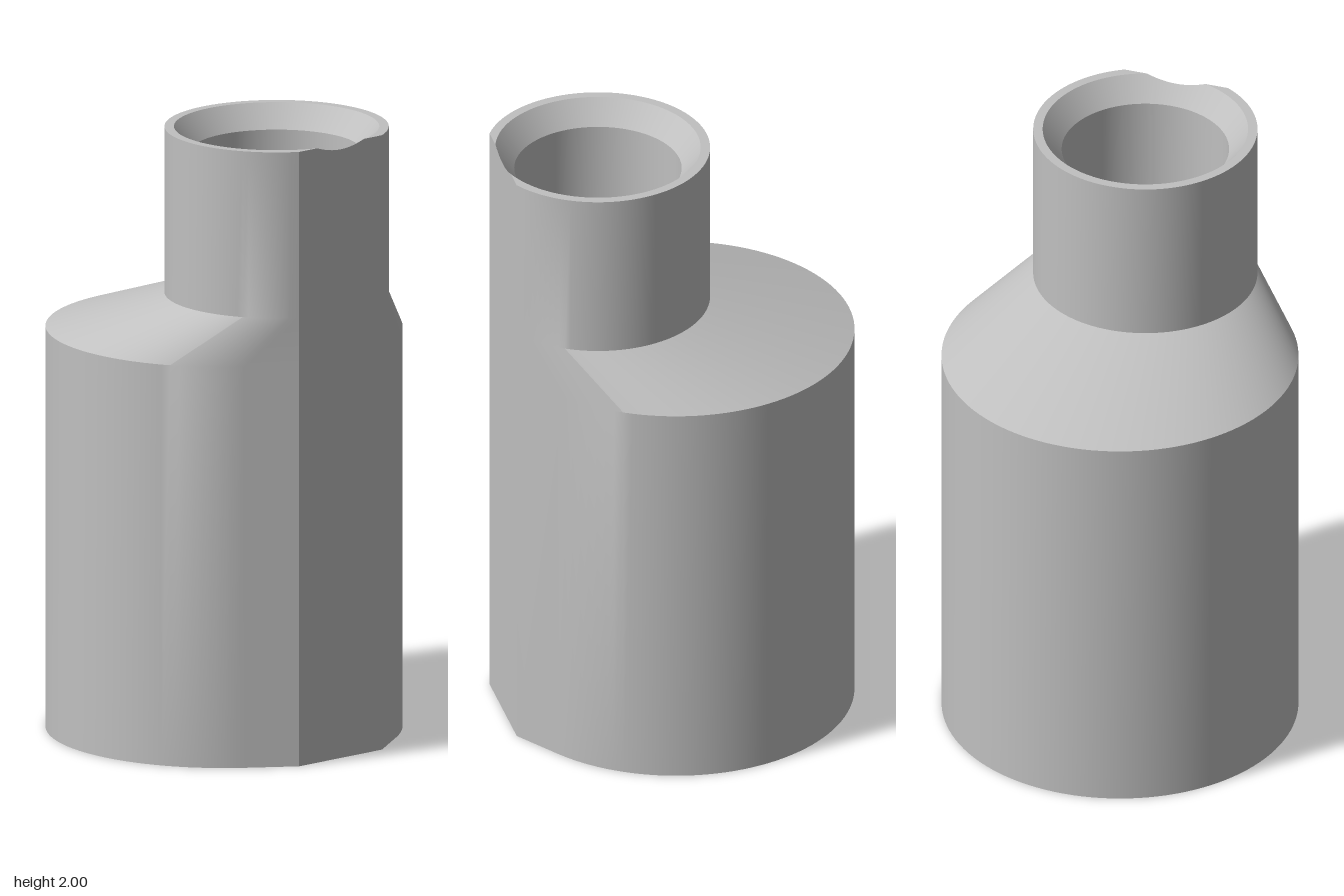
import * as THREE from 'three';
import { toCreasedNormals } from 'three/addons/utils/BufferGeometryUtils.js';

const BODY_R = 0.565, PIPE_R = 0.355, PIPE_Z = 0.255, FRONT = 0.565;
const RIM_R = 0.325, HOLE_R = 0.265, BORE_R = 0.475, CHAMFER = 0.075;
const REACH = FRONT - PIPE_Z; // pipe axis to the flat front

// Angles, measured from +z, at which the outline changes from flat to round
const rimCut = Math.acos(REACH / RIM_R);
const pipeCut = Math.acos(REACH / PIPE_R);
const corner = REACH * Math.tan(pipeCut);
const tangent = 2 * Math.atan(corner / FRONT);

// Shared column angles, running all the way round
function columnAngles() {
  const half = [0];
  const span = (a, b, n) => { for (let i = 1; i <= n; i++) half.push(a + (b - a) * i / n); };
  span(0, rimCut, 8);
  span(rimCut, pipeCut, 4);
  span(pipeCut, tangent, 1);
  span(tangent, Math.PI, 48);
  return [...half.slice(1).reverse().map(a => -a), ...half];
}

const circle = (r, y, z = 0) => a => new THREE.Vector3(r * Math.sin(a), y, z + r * Math.cos(a));

// Round body with a flat front and two tangent facets
const bodyRing = y => a => Math.abs(a) <= pipeCut + 1e-6
  ? new THREE.Vector3(REACH * Math.tan(a), y, FRONT)
  : circle(BODY_R, y)(a);

// Pipe circle trimmed by the front plane; the top edge dips where the chamfer is cut
const trimmed = (r, a) => Math.cos(a) > REACH / r ? REACH / Math.cos(a) : r;
const pipeRing = y => a => circle(trimmed(PIPE_R, a), y, PIPE_Z)(a);
const dip = a => 2 - CHAMFER * (RIM_R - trimmed(RIM_R, a)) / (RIM_R - HOLE_R);
const pipeTop = a => circle(trimmed(PIPE_R, a), dip(a), PIPE_Z)(a);
const rim = a => circle(trimmed(RIM_R, a), dip(a), PIPE_Z)(a);

// Skin a list of rings, leaving out collapsed triangles
function loft(rings) {
  const angles = columnAngles(), pos = [];
  const tri = (a, b, c) => {
    const area = b.clone().sub(a).cross(c.clone().sub(a)).length();
    if (area > 1e-9) pos.push(...a.toArray(), ...b.toArray(), ...c.toArray());
  };
  for (let j = 0; j < rings.length - 1; j++) {
    for (let i = 0; i < angles.length - 1; i++) {
      const a = rings[j](angles[i]), b = rings[j](angles[i + 1]);
      const c = rings[j + 1](angles[i + 1]), d = rings[j + 1](angles[i]);
      tri(a, b, c);
      tri(a, c, d);
    }
  }
  const geo = new THREE.BufferGeometry();
  geo.setAttribute('position', new THREE.Float32BufferAttribute(pos, 3));
  return toCreasedNormals(geo, 0.45);
}

export function createModel() {
  const group = new THREE.Group();
  const grey = new THREE.MeshStandardMaterial({ color: 0xc0c0c0 });
  grey.name = 'plain grey';
  const add = (name, rings) => {
    const mesh = new THREE.Mesh(loft(rings), grey);
    mesh.name = name;
    group.add(mesh);
  };

  // Wide body, offset shoulder and narrow pipe
  add('outerShell', [bodyRing(0), bodyRing(1.305), pipeRing(1.46), pipeTop]);

  // Rim, chamfer and blind hole at the top
  add('topSocket', [pipeTop, rim, circle(HOLE_R, 2 - CHAMFER, PIPE_Z),
    circle(HOLE_R, 1.46, PIPE_Z), circle(0, 1.46, PIPE_Z)]);

  // Blind bore and ring-shaped foot at the bottom
  add('bottomSocket', [circle(0, 1.305), circle(BORE_R, 1.305), circle(BORE_R, 0), bodyRing(0)]);

  return group;
}
